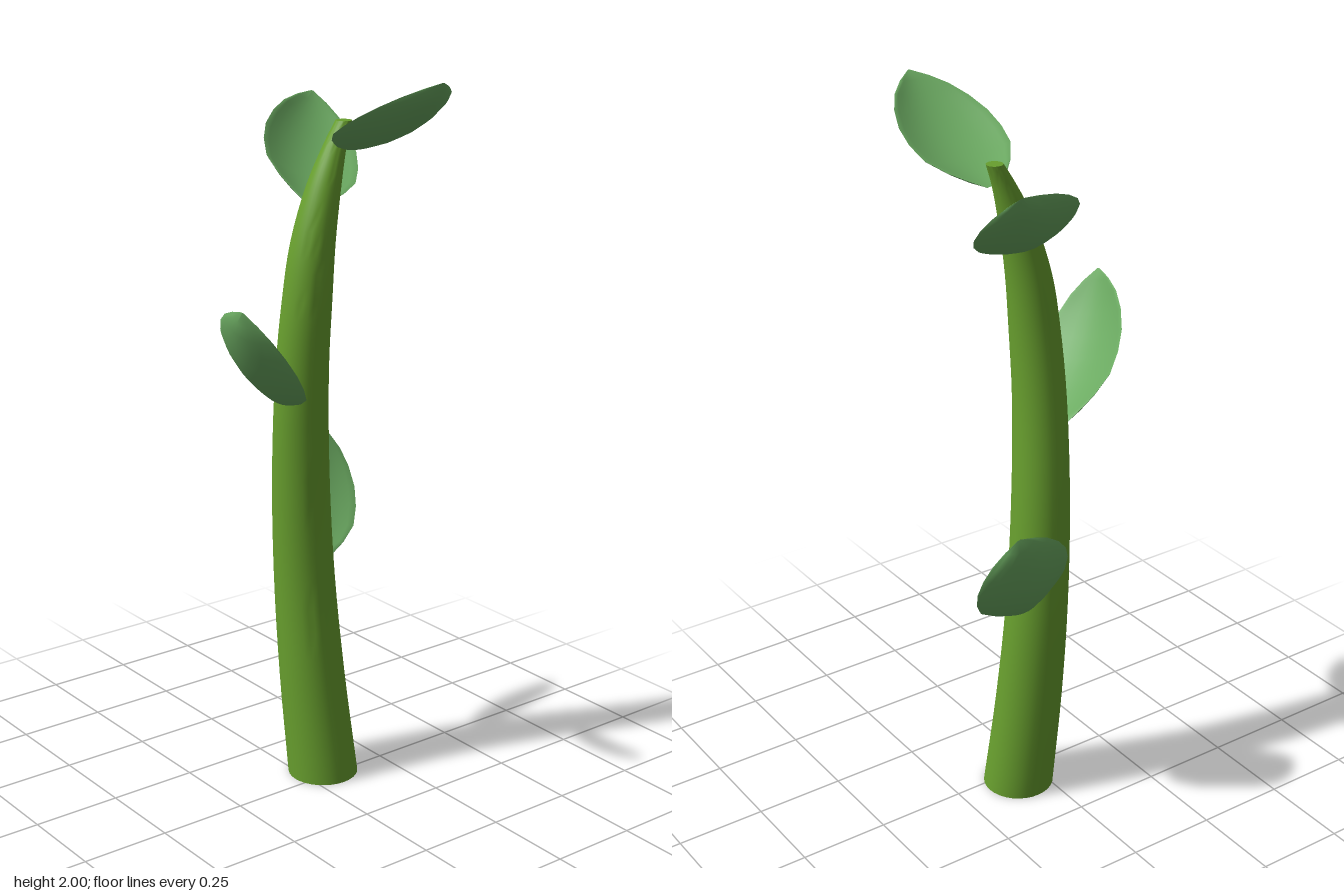
import * as THREE from 'three';
import { toCreasedNormals } from 'three/addons/utils/BufferGeometryUtils.js';

const V = (x, y, z) => new THREE.Vector3(x, y, z);
const stemGreen = new THREE.MeshStandardMaterial({ name: 'stemGreen', color: 0x689f2e });
const leafGreen = new THREE.MeshStandardMaterial({ name: 'leafGreen', color: 0x6cab62 });

// Stem stations: height, centre x, centre z, radius
const STATIONS = [
  [0, 0.067, -0.035, 0.099], [0.3, 0.05, -0.064, 0.092], [0.6, 0.037, -0.083, 0.085],
  [0.9, 0.022, -0.078, 0.079], [1.2, 0.01, -0.055, 0.072], [1.4, 0.016, -0.04, 0.067],
  [1.55, 0.032, -0.036, 0.06], [1.7, 0.068, -0.035, 0.046], [1.8, 0.105, -0.036, 0.031],
  [1.86, 0.133, -0.036, 0.022],
];

// Leaf half-width along its length
const WIDTHS = [[0, 0.022], [0.08, 0.058], [0.17, 0.094], [0.3, 0.13], [0.44, 0.139],
  [0.58, 0.134], [0.72, 0.113], [0.84, 0.082], [0.93, 0.044], [1, 0.003]];

// Level rings follow a bending, tapering centre line
function makeStem() {
  const centre = new THREE.CatmullRomCurve3(STATIONS.map(([y, x, z]) => V(x, y, z)));
  const radius = new THREE.CatmullRomCurve3(STATIONS.map(([y, , , r]) => V(r, y, 0)));
  const geo = new THREE.CylinderGeometry(1, 1, 1, 32, 36);
  const pos = geo.attributes.position;
  for (let i = 0; i < pos.count; i++) {
    const t = THREE.MathUtils.clamp(pos.getY(i) + 0.5, 0, 1);
    const c = centre.getPoint(t), r = radius.getPoint(t).x;
    pos.setXYZ(i, c.x + pos.getX(i) * r, c.y, c.z + pos.getZ(i) * r);
  }
  const mesh = new THREE.Mesh(toCreasedNormals(geo, 0.9), stemGreen);
  mesh.name = 'stem';
  return mesh;
}

// Cupped leaf from base to tip; facing is roughly the upper side's direction
function makeLeaf(name, base, tip, facing) {
  const along = tip.clone().sub(base);
  const d = along.clone().normalize();
  const n = facing.clone().addScaledVector(d, -facing.dot(d)).normalize();
  const across = n.clone().cross(d);
  const rows = WIDTHS.length - 1;
  const geo = new THREE.PlaneGeometry(1, 1, 24, rows);
  const pos = geo.attributes.position;
  for (let i = 0; i < pos.count; i++) {
    const [t, w] = WIDTHS[Math.round((pos.getY(i) + 0.5) * rows)];
    const a = (pos.getX(i) + 0.5) * Math.PI * 2;
    const s = Math.cos(a), bow = Math.sin(Math.PI * t);
    const lift = -0.042 * (1 - s * s) * Math.pow(bow, 0.7) - 0.004 * bow
      + 0.007 * Math.sin(a) * Math.min(1, w / 0.05);
    const p = base.clone().addScaledVector(along, t)
      .addScaledVector(across, s * w).addScaledVector(n, lift);
    pos.setXYZ(i, p.x, p.y, p.z);
  }
  const mesh = new THREE.Mesh(toCreasedNormals(geo, 1), leafGreen);
  mesh.name = name;
  return mesh;
}

export function createModel() {
  const group = new THREE.Group();
  group.name = 'plant';
  group.add(
    makeStem(),
    makeLeaf('topFrontLeaf', V(0.12, 1.795, -0.018), V(0.125, 2.0, 0.365), V(0, 0.88, -0.48)),
    makeLeaf('topBackLeaf', V(0.05, 1.645, -0.065), V(0.27, 1.89, -0.35), V(0, 0.746, 0.666)),
    makeLeaf('rightLeaf', V(-0.05, 1.12, -0.07), V(-0.305, 1.44, 0.115), V(0.79, 0.61, 0)),
    makeLeaf('lowerBackLeaf', V(0.095, 0.61, -0.105), V(0.237, 0.955, -0.287), V(0, 0.457, 0.889)),
  );
  return group;
}
